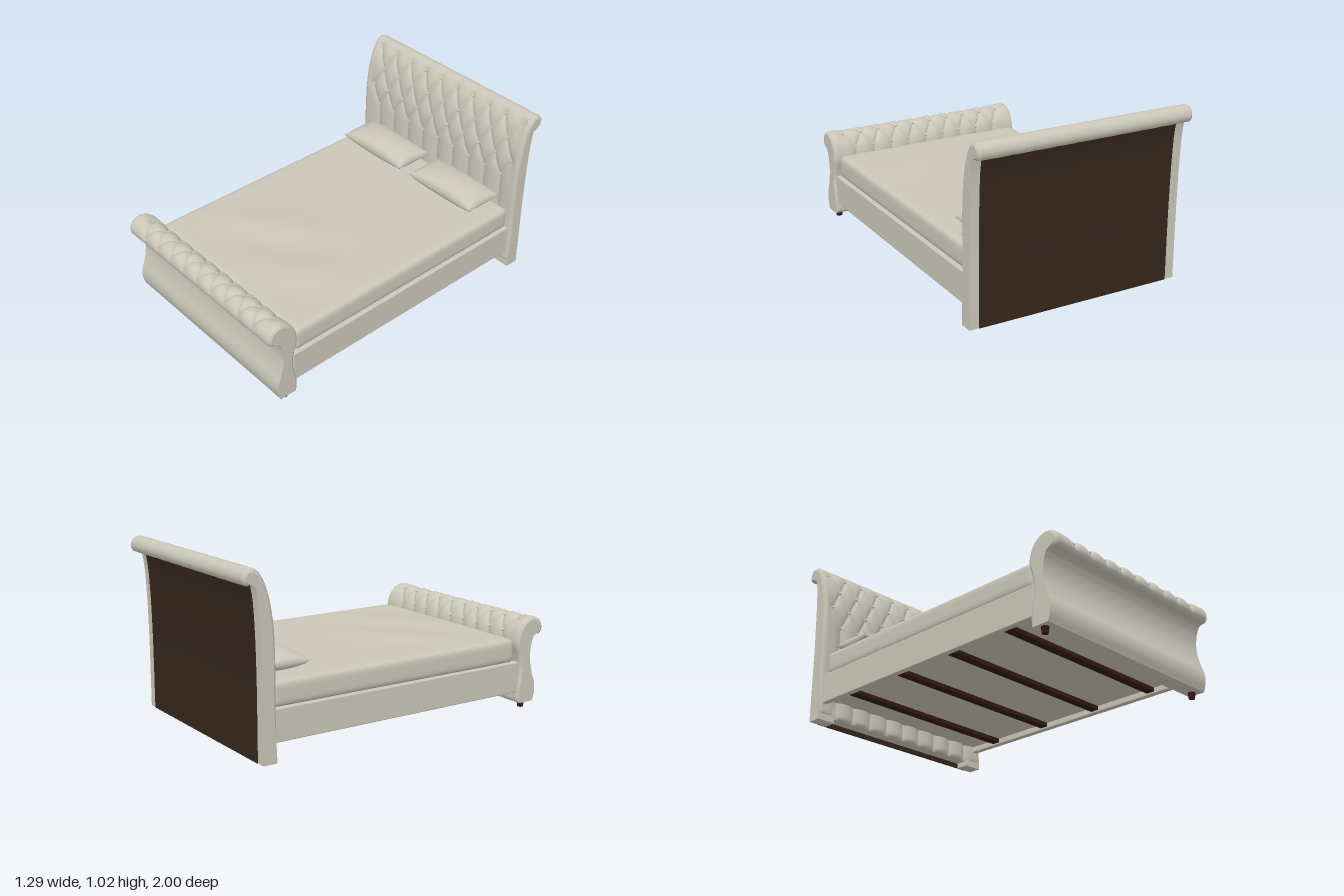
import * as THREE from 'three';
import { mergeVertices, toCreasedNormals } from 'three/addons/utils/BufferGeometryUtils.js';
import { RoundedBoxGeometry } from 'three/addons/geometries/RoundedBoxGeometry.js';

const material = (name, color) => Object.assign(new THREE.MeshStandardMaterial({ color }), { name });

// Profiles are lists of [z, y] points
const curveOf = (pts) =>
  new THREE.CatmullRomCurve3(pts.map(([z, y]) => new THREE.Vector3(0, y, z)), false, 'centripetal');

// Solid between two profile edges, stretched from x0 to x1
function solid(front, back, x0, x1) {
  const outline = [front, back].flatMap((pts) =>
    curveOf(pts).getSpacedPoints(40).map((p) => new THREE.Vector2(p.z, p.y)));
  const geo = new THREE.ExtrudeGeometry(new THREE.Shape(outline), { depth: x1 - x0, bevelEnabled: false });
  geo.rotateY(-Math.PI / 2).translate(x1, 0, 0);
  return toCreasedNormals(geo, 0.7);
}

// Cushion height: diamonds between the button rows, pleats below them, a nearly plain roll above
function puff(x, s, len, t) {
  const clamp = THREE.MathUtils.clamp;
  const row = clamp((s - t.start) / t.dy, 0, t.rows - 1);
  const limit = 4.5 * t.dx;
  const u = clamp(x, -limit, limit) / t.dx;
  let h = Math.pow(Math.abs(Math.sin(Math.PI * (u + row / 2)) * Math.sin(Math.PI * (u - row / 2))), 0.38);
  const above = 0.92 * clamp((s - t.start - (t.rows - 1) * t.dy) / 0.035, 0, 1);
  h += (1 - h) * Math.max(above, clamp((Math.abs(x) - limit) / 0.04, 0, 1));
  const round = (d) => Math.sqrt(1 - (1 - clamp(d / 0.025, 0, 1)) ** 2);
  return t.depth * h * round(t.halfW - Math.abs(x)) * round(s) * round(len - s);
}

// Grid lines through the creases, plus the two ends
function ticks(lo, hi, origin, step) {
  const list = [lo];
  for (let k = Math.ceil((lo - origin) / step + 0.2); origin + k * step < hi - step * 0.2; k++) {
    list.push(origin + k * step);
  }
  return [...list, hi];
}

// Point on a profile, pushed outwards
function onProfile(curve, f, x, offset) {
  const p = curve.getPointAt(f), d = curve.getTangentAt(f);
  return new THREE.Vector3(x, p.y - d.z * offset, p.z + d.y * offset);
}

function tuftedPad(path, t) {
  const curve = curveOf(path), len = curve.getLength();
  const xs = ticks(-t.halfW, t.halfW, 0, t.dx / 20);
  const ss = ticks(0, len, t.start, t.dy / 10);
  const pos = [], index = [], h = [], n = xs.length;
  for (const s of ss) {
    const p = curve.getPointAt(s / len), d = curve.getTangentAt(s / len);
    for (const x of xs) {
      const k = puff(x, s, len, t);
      h.push(k);
      pos.push(x, p.y - d.z * k, p.z + d.y * k);
    }
  }
  for (let j = 0; j < ss.length - 1; j++) {
    for (let i = 0; i < n - 1; i++) {
      const a = j * n + i, b = a + 1, c = b + n, d = a + n;
      // fold each cell along its lower diagonal so creases run clean
      if (h[a] + h[c] < h[b] + h[d]) index.push(a, b, c, a, c, d);
      else index.push(a, b, d, b, c, d);
    }
  }
  const geo = new THREE.BufferGeometry();
  geo.setAttribute('position', new THREE.Float32BufferAttribute(pos, 3));
  geo.setIndex(index);
  geo.computeVertexNormals();
  return geo;
}

// Weld a reshaped box and smooth it
function smoothBox(geo, rule) {
  const pos = geo.attributes.position, v = new THREE.Vector3();
  for (let i = 0; i < pos.count; i++) {
    rule(v.fromBufferAttribute(pos, i));
    pos.setXYZ(i, v.x, v.y, v.z);
  }
  geo.deleteAttribute('normal');
  geo.deleteAttribute('uv');
  const merged = mergeVertices(geo, 1e-5);
  merged.computeVertexNormals();
  return merged;
}

function mattressGeometry() {
  const half = new THREE.Vector3(0.61, 0.07, 0.815), r = 0.03;
  const inner = half.clone().subScalar(r), core = new THREE.Vector3();
  return smoothBox(new THREE.BoxGeometry(1.22, 0.14, 1.63, 60, 8, 80), (v) => {
    core.copy(v).clamp(inner.clone().negate(), inner);
    const top = v.y > 0.069;
    v.sub(core).setLength(r).add(core);
    // soft creases in the sheet
    if (top) {
      v.y += 0.007 * Math.exp(-(((v.z - 0.4) / 0.3) ** 2)) * (1 + Math.sin(9 * v.x + 11 * v.z))
        * (1 - (v.x / 0.61) ** 2);
    }
  });
}

function pillowGeometry() {
  return smoothBox(new THREE.BoxGeometry(2, 2, 2, 32, 1, 24), (v) => {
    const a = 1 - v.x * v.x, b = 1 - v.z * v.z;
    v.set(0.256 * v.x * (1 - 0.035 * b), Math.sign(v.y) * 0.062 * Math.pow(a * b, 0.45),
      0.127 * v.z * (1 - 0.04 * a));
  });
}

export function createModel() {
  const fabric = material('warm grey fabric', 0xcac6b8);
  const backing = material('dark brown backing', 0x35261b);
  const wood = material('dark red wood', 0x341a16);
  const bed = new THREE.Group();
  bed.name = 'sleighBed';

  const add = (parent, name, geo, mat, x = 0, y = 0, z = 0) => {
    const mesh = new THREE.Mesh(geo, mat);
    mesh.name = name;
    mesh.position.set(x, y, z);
    parent.add(mesh);
  };

  const addTufting = (parent, name, path, t) => {
    add(parent, name + 'Pad', tuftedPad(path, t), fabric);
    const curve = curveOf(path), len = curve.getLength();
    const button = new THREE.SphereGeometry(0.008, 12, 8);
    for (let j = 0; j < t.rows; j++) {
      const off = j % 2 ? 0.5 : 0;
      for (let k = -4 - off; k <= 4 + off; k++) {
        const p = onProfile(curve, (t.start + j * t.dy) / len, k * t.dx, 0.004);
        add(parent, name + 'Button', button, fabric, p.x, p.y, p.z);
      }
    }
  };

  // Headboard: end posts, padded centre held off the floor, thin panel over the back
  const headboard = new THREE.Group();
  headboard.name = 'headboard';
  bed.add(headboard);
  const headFront = [[-0.836, 0.03], [-0.836, 0.3], [-0.836, 0.58], [-0.845, 0.74], [-0.872, 0.88],
    [-0.905, 0.96], [-0.94, 0.998], [-0.968, 0.996], [-0.986, 0.97], [-0.98, 0.947], [-0.958, 0.936]];
  const postFront = [[-0.822, 0], [-0.822, 0.04], ...headFront.slice(1)];
  const postBack = [[-0.93, 0.92], [-0.918, 0.85], [-0.908, 0.7], [-0.902, 0.45], [-0.902, 0]];
  const coreBack = postBack.map(([z, y]) => [z, Math.max(y, 0.03)]);
  const panelFront = postBack.map(([z, y]) => [z + 0.002, y]).reverse();
  const panelBack = postBack.map(([z, y]) => [z - 0.004, y]);
  for (const [x0, x1] of [[-0.645, -0.53], [0.53, 0.645]]) {
    add(headboard, 'headboardPost', solid(postFront, postBack, x0, x1), fabric);
  }
  add(headboard, 'headboardCore', solid(headFront, coreBack, -0.53, 0.53), fabric);
  add(headboard, 'headboardBackPanel', solid(panelFront, panelBack, -0.588, 0.588), backing);
  addTufting(headboard, 'headboard', headFront,
    { dx: 0.129, dy: 0.122, rows: 4, start: 0.58, halfW: 0.645, depth: 0.018 });

  // Footboard: shaped like the headboard, turned to face it
  const footboard = new THREE.Group();
  footboard.name = 'footboard';
  footboard.rotation.y = Math.PI;
  bed.add(footboard);
  const footFront = [[-0.835, 0.035], [-0.837, 0.12], [-0.852, 0.2], [-0.856, 0.26], [-0.845, 0.32],
    [-0.826, 0.39], [-0.835, 0.445], [-0.86, 0.488], [-0.895, 0.515], [-0.93, 0.523], [-0.965, 0.51],
    [-0.983, 0.48], [-0.979, 0.452], [-0.955, 0.438]];
  const footBack = [[-0.932, 0.425], [-0.915, 0.38], [-0.907, 0.3], [-0.925, 0.21], [-0.948, 0.14],
    [-0.95, 0.09], [-0.935, 0.035]];
  add(footboard, 'footboardCore', solid(footFront, footBack, -0.635, 0.635), fabric);
  addTufting(footboard, 'footboard', footFront,
    { dx: 0.121, dy: 0.095, rows: 3, start: 0.417, halfW: 0.635, depth: 0.017 });

  // Side rails and front feet
  for (const side of [-1, 1]) {
    add(bed, 'sideRail', new RoundedBoxGeometry(0.035, 0.18, 1.67, 3, 0.006), fabric, side * 0.605, 0.19, 0);
    add(bed, 'foot', new THREE.CylinderGeometry(0.022, 0.017, 0.04, 20), wood, side * 0.595, 0.02, 0.88);
  }

  // Platform with cross slats below
  add(bed, 'platform', new THREE.BoxGeometry(1.19, 0.14, 1.67), fabric, 0, 0.205, 0);
  for (const z of [-0.61, -0.2, 0.2, 0.61]) {
    add(bed, 'slat', new THREE.BoxGeometry(1.17, 0.025, 0.05), wood, 0, 0.123, z);
  }

  // Bedding
  add(bed, 'mattress', mattressGeometry(), fabric, 0, 0.348, -0.005);
  for (const x of [-0.298, 0.285]) add(bed, 'pillow', pillowGeometry(), fabric, x, 0.478, -0.686);

  return bed;
}
